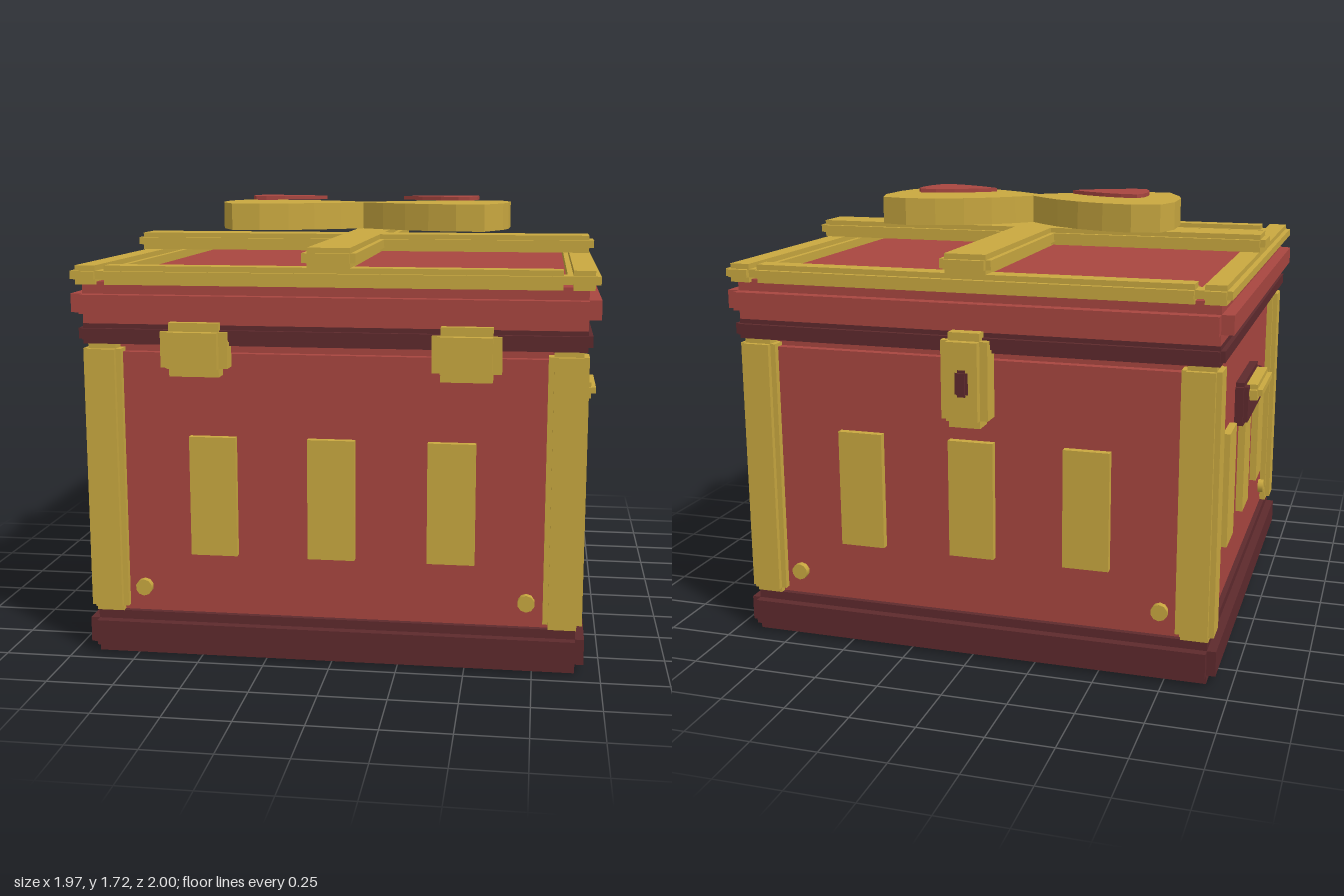
import * as THREE from 'three';
import { mergeGeometries } from 'three/addons/utils/BufferGeometryUtils.js';

const gold = new THREE.MeshStandardMaterial({ name: 'gold', color: 0xc9a840 });
const red = new THREE.MeshStandardMaterial({ name: 'red', color: 0xa84640 });
const dark = new THREE.MeshStandardMaterial({ name: 'darkMaroon', color: 0x5e2a2d });

const ZC = 0.0125; // the chest sits slightly forward of the origin

export function createModel() {
  const model = new THREE.Group();
  model.name = 'giftChest';

  const add = (name, geometry, material) => {
    const mesh = new THREE.Mesh(geometry, material);
    mesh.name = name;
    model.add(mesh);
    return mesh;
  };

  // Box given by its limits, with every edge cut back in a square step b
  const stepBox = (name, material, [x0, x1], [y0, y1], [z0, z1], b = 0) => {
    const w = x1 - x0, h = y1 - y0, d = z1 - z0, c = 2 * b;
    const sizes = b
      ? [[w - c, h, d - c], [w, h - c, d - c], [w - c, h - c, d]]
      : [[w, h, d]];
    const geometry = mergeGeometries(sizes.map((s) => new THREE.BoxGeometry(...s)));
    geometry.translate((x0 + x1) / 2, (y0 + y1) / 2, (z0 + z1) / 2);
    return add(name, geometry, material);
  };
  const around = (center, half) => [center - half, center + half];

  // Chest: base, body, rim and lid
  const slab = (name, material, half, y, b) =>
    stepBox(name, material, around(0, half), y, around(ZC, half), b);
  slab('base', dark, 0.94, [0, 0.165], 0.034);
  slab('body', red, 0.885, [0.1, 1.2], 0.034);
  slab('rim', dark, 0.94, [1.2, 1.275], 0.017);
  slab('lid', red, 0.967, [1.27, 1.43], 0.045);

  // Corner posts
  for (const sx of [-1, 1]) for (const sz of [-1, 1]) {
    stepBox('cornerPost', gold, around(sx * 0.858, 0.072), [0.165, 1.2],
      around(ZC + sz * 0.858, 0.072), 0.02);
  }

  // Three upright strips and two rivets on every side
  for (let side = 0; side < 4; side++) {
    const turn = (mesh) => {
      mesh.geometry.rotateY(side * Math.PI / 2);
      mesh.geometry.translate(0, 0, ZC);
    };
    for (const x of [-0.445, 0, 0.445]) {
      turn(stepBox('sideStrip', gold, around(x, 0.088), [0.4, 0.855], [0.87, 0.914]));
    }
    for (const x of [-0.725, 0.725]) {
      const rivet = new THREE.CylinderGeometry(0.032, 0.032, 0.05, 10);
      rivet.rotateX(Math.PI / 2);
      rivet.translate(x, 0.26, 0.885);
      turn(add('rivet', rivet, gold));
    }
  }

  // Side handles
  for (const s of [-1, 1]) {
    stepBox('handlePlate', dark, around(s * 0.9, 0.036), [0.803, 0.982], around(ZC, 0.228), 0.017);
    stepBox('handleGrip', gold, around(s * 0.945, 0.042), [0.902, 0.968], around(ZC, 0.187), 0.02);
  }

  // Front clasps, back lock plate and keyhole
  for (const s of [-1, 1]) {
    stepBox('frontClasp', gold, around(s * 0.497, 0.125), [1.088, 1.286], [0.87, 1.0], 0.032);
  }
  stepBox('lockPlate', gold, around(0, 0.09), [0.925, 1.28], [-0.987, -0.85], 0.03);
  stepBox('keyhole', dark, around(0, 0.025), [1.048, 1.148], [-1.0, -0.96], 0.01);

  // Lid frame bars
  const frameY = [1.42, 1.49];
  for (const s of [-1, 1]) {
    stepBox('sideFrameBar', gold, around(s * 0.903, 0.058), frameY, around(ZC, 0.96), 0.02);
    stepBox('crossFrameBar', gold, around(0, 0.85), frameY, around(ZC + s * 0.903, 0.058), 0.02);
  }

  // Crossed ribbons
  stepBox('ribbonAcross', gold, around(0, 0.965), [1.492, 1.562], around(0.0, 0.098), 0.02);
  stepBox('ribbonAlong', gold, around(0, 0.098), [1.487, 1.562], around(ZC, 0.965), 0.02);

  // Flat plate from an outline of [x, z] points, between two heights
  const plate = (name, material, points, y0, y1) => {
    const shape = new THREE.Shape(points.map(([x, z]) => new THREE.Vector2(x, -z)));
    const geometry = new THREE.ExtrudeGeometry(shape, { depth: y1 - y0, bevelEnabled: false });
    geometry.rotateX(-Math.PI / 2);
    geometry.translate(0, y0, 0);
    return add(name, geometry, material);
  };

  // Bow: right loop outline, mirrored for the left one
  const loop = [[0, -0.07], [0.06, -0.132], [0.14, -0.2], [0.24, -0.258], [0.35, -0.298],
    [0.47, -0.32], [0.58, -0.29], [0.615, -0.175], [0.61, -0.015], [0.59, 0.07],
    [0.52, 0.225], [0.405, 0.225], [0.29, 0.19], [0.19, 0.142], [0.09, 0.08], [0, 0.01]];
  const mirror = (pts) => pts.map(([x, z]) => [-x, z]).reverse();
  plate('bow', gold, [...loop, ...mirror(loop.slice(1, -1))], 1.583, 1.692);

  // Red centres of the bow loops
  const centre = [[0.165, -0.05], [0.23, -0.1], [0.32, -0.145], [0.395, -0.167], [0.46, -0.17],
    [0.48, -0.135], [0.485, -0.07], [0.477, 0], [0.45, 0.075], [0.405, 0.08],
    [0.33, 0.055], [0.25, 0.012]];
  plate('bowCentre', red, centre, 1.703, 1.718);
  plate('bowCentre', red, mirror(centre), 1.703, 1.718);

  return model;
}
